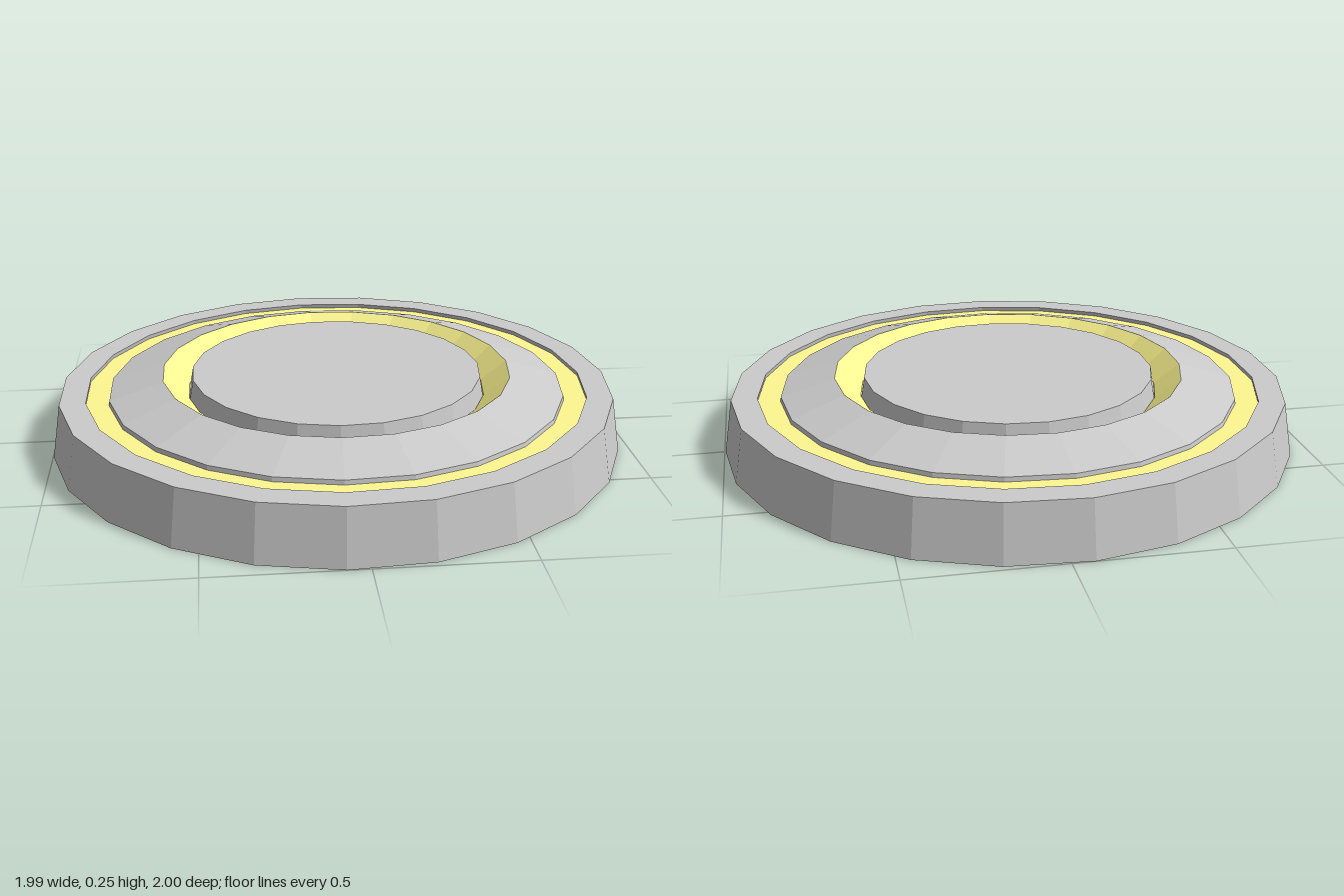
import * as THREE from 'three';

const SIDES = 23;
const grey = new THREE.MeshStandardMaterial({ color: 0xcccccc, flatShading: true });
const yellow = new THREE.MeshStandardMaterial({ color: 0xfff891, flatShading: true });

// Revolve a [radius, y] profile, listed up the outside and down the inside.
function turned(name, profile, material) {
  const points = profile.map(([r, y]) => new THREE.Vector2(r, y));
  const mesh = new THREE.Mesh(new THREE.LatheGeometry(points, SIDES, Math.PI / 2), material);
  mesh.name = name;
  return mesh;
}

// Repeat the first point so the ring's section is closed.
const ring = (name, profile, material) => turned(name, [...profile, profile[0]], material);

export function createModel() {
  const group = new THREE.Group();
  group.name = 'roundPlate';

  group.add(
    // Tapered outer rim
    ring('outerRim', [[1.002, 0], [0.97, 0.19], [0.88, 0.19], [0.912, 0]], grey),

    // Flat yellow band sunk between the rim and the middle ring
    ring('outerBand', [[0.898, 0.07], [0.882, 0.175], [0.79, 0.175], [0.79, 0.07]], yellow),

    // Middle ring with a sloping top
    ring('middleRing', [[0.83, 0.02], [0.80, 0.19], [0.613, 0.245], [0.635, 0.02]], grey),

    // Yellow funnel around the centre
    ring('innerBand', [[0.627, 0.10], [0.613, 0.245], [0.525, 0.175], [0.51, 0.10]], yellow),

    // Raised centre disc
    turned('centreDisc', [[0, 0.098], [0.535, 0.098], [0.535, 0.105], [0.51, 0.24], [0, 0.24]], grey)
  );

  // Balance the odd number of sides about x = 0
  group.children.forEach((part) => { part.position.x = -0.005; });
  return group;
}
